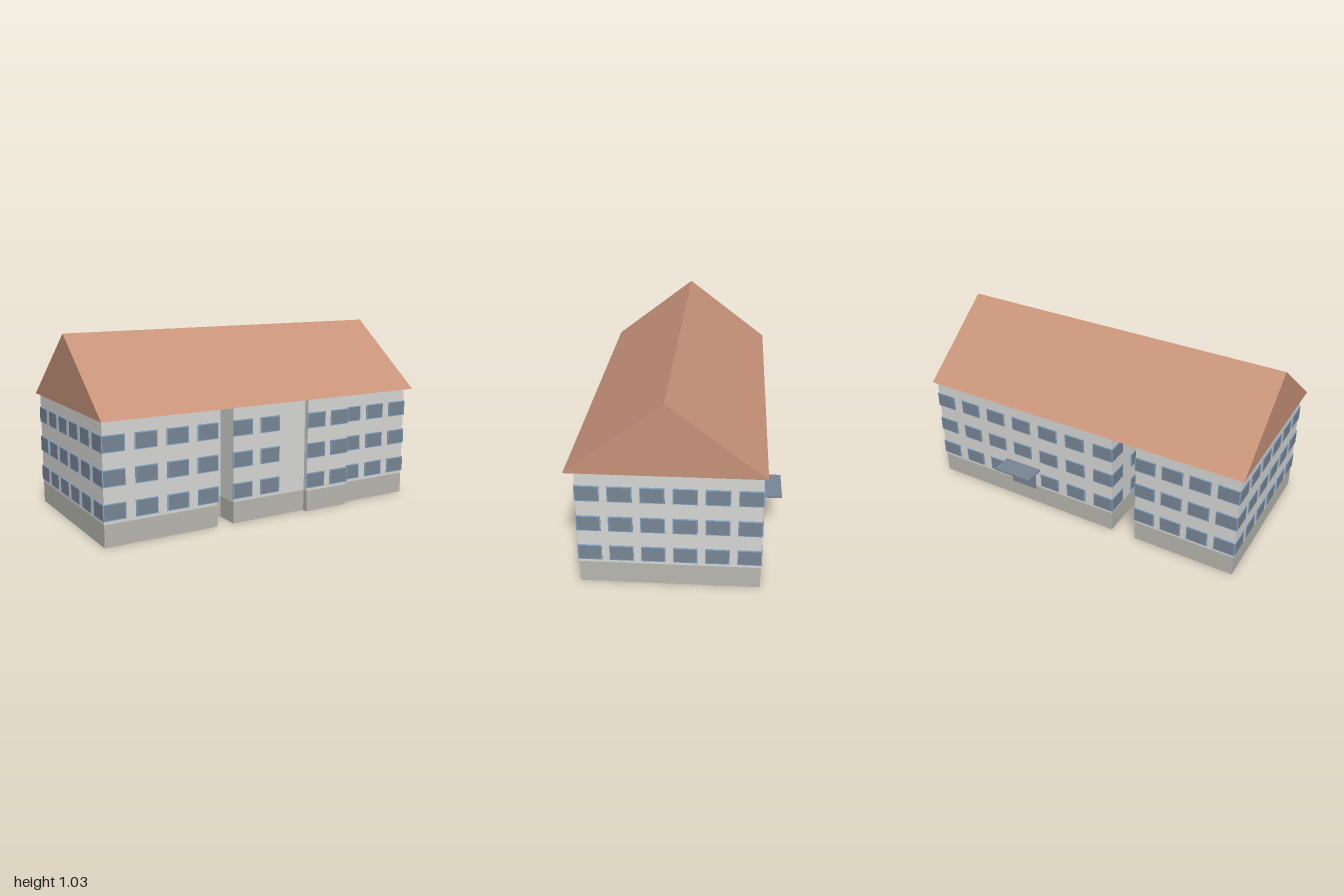
import * as THREE from 'three';

const material = (name, color) => {
  const m = new THREE.MeshStandardMaterial({ color });
  m.name = name;
  return m;
};

// Footprint corners [x, z], counterclockwise from above, each followed by the
// number of window columns on the wall that starts there.
const FOOTPRINT = [
  [-0.98, 0.5, 4], [-0.33, 0.5, 0], [-0.33, 0.36, 0], [-0.23, 0.36, 0],
  [-0.23, 0.5, 3], [0.24, 0.5, 0], [0.24, 0.53, 2], [0.52, 0.53, 0],
  [0.52, 0.5, 3], [0.98, 0.5, 6], [0.98, -0.43, 7], [-0.23, -0.43, 2],
  [-0.23, -0.09, 0], [-0.38, -0.09, 2], [-0.38, -0.43, 4], [-0.98, -0.43, 6],
];
const STAIR_WALL = 4;   // its last column is blank
const DOOR_WALL = 10;   // the door replaces one ground floor window
const DOOR_COLUMN = 3;
const FLOORS = [0.181, 0.355, 0.529];
const WIN_W = 0.125, WIN_H = 0.088, BORDER = 0.005, PROUD = 0.005;

export function createModel() {
  const model = new THREE.Group();
  model.name = 'building';

  const wallMat = material('wall plaster', 0xd9d9d6);
  const baseMat = material('plinth stone', 0xb9b8b1);
  const roofMat = material('roof tile', 0xc8937a);
  const glassMat = material('window glass', 0x798796);
  const frameMat = material('window frame', 0x86aacb);

  const add = (parent, name, geometry, mat, x = 0, y = 0, z = 0) => {
    const mesh = new THREE.Mesh(geometry, mat);
    mesh.name = name;
    mesh.position.set(x, y, z);
    parent.add(mesh);
    return mesh;
  };

  // Plinth and walls share one footprint
  const outline = new THREE.Shape(FOOTPRINT.map(([x, z]) => new THREE.Vector2(x, -z)));
  const storey = (y0, y1) =>
    new THREE.ExtrudeGeometry(outline, { depth: y1 - y0, bevelEnabled: false })
      .rotateX(-Math.PI / 2).translate(0, y0, 0);
  add(model, 'plinth', storey(0, 0.12), baseMat);
  add(model, 'walls', storey(0.12, 0.65), wallMat);

  // Gabled roof prism running along x
  const gable = new THREE.Shape([
    new THREE.Vector2(-0.55, 0.65), new THREE.Vector2(0.45, 0.65), new THREE.Vector2(-0.05, 1.035),
  ]);
  const roof = new THREE.ExtrudeGeometry(gable, { depth: 2, bevelEnabled: false })
    .rotateY(Math.PI / 2).translate(-1, 0, 0);
  add(model, 'roof', roof, roofMat);

  // Windows: a thin frame plate with a pane just in front of it
  const frameGeo = new THREE.BoxGeometry(WIN_W, WIN_H, PROUD);
  const paneGeo = new THREE.PlaneGeometry(WIN_W - 2 * BORDER, WIN_H - 2 * BORDER);

  FOOTPRINT.forEach(([ax, az, columns], i) => {
    if (!columns) return;
    const [bx, bz] = FOOTPRINT[(i + 1) % FOOTPRINT.length];
    const span = Math.hypot(bx - ax, bz - az) + 2 * PROUD;
    const step = (span - WIN_W) / (columns - 1);

    // Local +z points out of the wall, local x runs along it
    const row = new THREE.Group();
    row.name = 'wallWindows';
    row.position.set((ax + bx) / 2, 0, (az + bz) / 2);
    row.rotation.y = Math.atan2(az - bz, bx - ax);
    model.add(row);

    for (let c = 0; c < columns; c++) {
      if (i === STAIR_WALL && c === columns - 1) continue;
      const x = -span / 2 + WIN_W / 2 + c * step;
      FLOORS.forEach((y, floor) => {
        if (i === DOOR_WALL && c === DOOR_COLUMN && floor === 0) return;
        add(row, 'windowFrame', frameGeo, frameMat, x, y, PROUD / 2);
        add(row, 'windowPane', paneGeo, glassMat, x, y, PROUD + 0.001);
      });
    }
  });

  // Back entrance with its canopy
  add(model, 'door', new THREE.BoxGeometry(0.17, 0.14, 0.005), glassMat, 0.38, 0.17, -0.4325);
  add(model, 'canopy', new THREE.BoxGeometry(0.24, 0.01, 0.12), glassMat, 0.38, 0.248, -0.49);

  return model;
}
